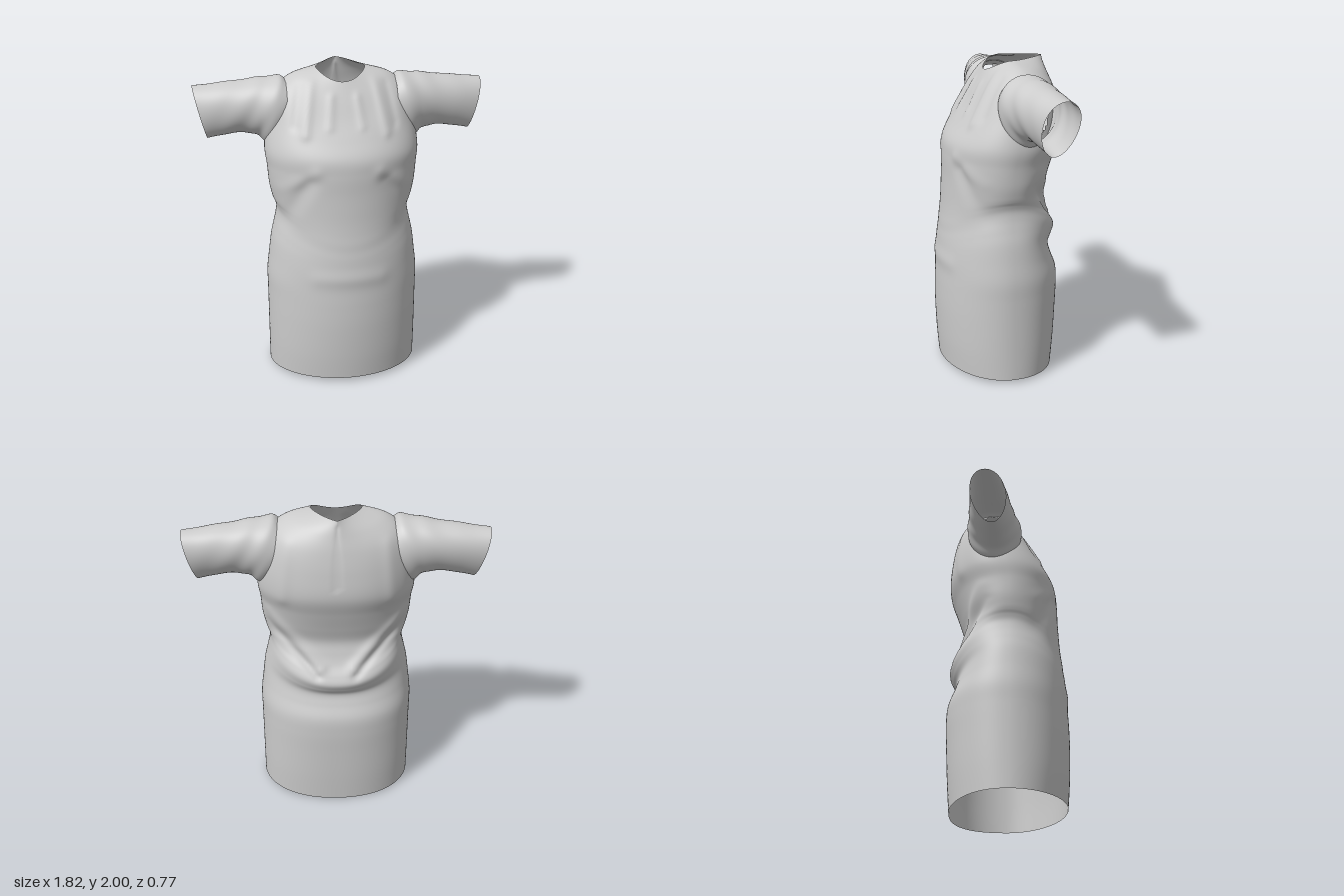
import * as THREE from 'three';

const material = new THREE.MeshStandardMaterial({ color: 0xcccccc, side: THREE.DoubleSide });

// Smooth interpolation through a list of equal-length rows, t in 0..1
function sampleRows(rows, t) {
  const f = t * (rows.length - 1);
  const i = Math.min(Math.floor(f), rows.length - 2);
  const u = f - i;
  const at = (k) => rows[Math.max(0, Math.min(rows.length - 1, k))];
  return rows[i].map((p1, c) => {
    const p0 = at(i - 1)[c], p2 = at(i + 1)[c], p3 = at(i + 2)[c];
    const m1 = (p2 - p0) / 2, m2 = (p3 - p1) / 2;
    const u2 = u * u, u3 = u2 * u;
    return (2 * u3 - 3 * u2 + 1) * p1 + (u3 - 2 * u2 + u) * m1 + (3 * u2 - 2 * u3) * p2 + (u3 - u2) * m2;
  });
}

// Open tube through closed rings; skip(points) may leave out a quad
function loft(rings, segs, pointAt, flip = false, skip = () => false) {
  const pts = [], index = [];
  for (let i = 0; i <= rings; i++) {
    for (let j = 0; j < segs; j++) pts.push(pointAt(i / rings, (j / segs) * Math.PI * 2));
  }
  for (let i = 0; i < rings; i++) {
    for (let j = 0; j < segs; j++) {
      const k = (j + 1) % segs;
      const a = i * segs + j, b = i * segs + k, c = a + segs, d = b + segs;
      if (skip([a, b, c, d].map((n) => pts[n]))) continue;
      if (flip) index.push(a, b, c, b, d, c);
      else index.push(a, c, b, b, c, d);
    }
  }
  const g = new THREE.BufferGeometry();
  g.setAttribute('position', new THREE.Float32BufferAttribute(pts.flat(), 3));
  g.setIndex(index);
  g.computeVertexNormals();
  return g;
}

// Skirt and torso: y at centre, half width, front z, back z
const torso = [
  [0.2, 0.49, 0.38, -0.37], [0.4, 0.49, 0.387, -0.38], [0.55, 0.49, 0.385, -0.386],
  [0.66, 0.49, 0.38, -0.38], [0.75, 0.475, 0.378, -0.345], [0.82, 0.46, 0.372, -0.325],
  [0.87, 0.442, 0.367, -0.35], [0.92, 0.426, 0.36, -0.37], [0.97, 0.42, 0.355, -0.35],
  [1.03, 0.428, 0.347, -0.31], [1.1, 0.44, 0.34, -0.285], [1.18, 0.45, 0.335, -0.272],
  [1.28, 0.463, 0.33, -0.3], [1.4, 0.472, 0.327, -0.34],
].map(([y, w, zf, zb]) => {
  // the back drapes in U-shaped folds, higher at the sides
  const lift = 0.15 * Math.exp(-(((y - 0.95) / 0.2) ** 2));
  return [y, y + lift, y, w, 0, zf, zb, 2, 2.25];
});

// y front, y side, y back, half width, centre z, front z, back z, roundness front and back
const bodyRows = [
  [0.03, 0.025, 0.003, 0.49, 0, 0.367, -0.356, 1.95, 2.2],
  ...torso,
  [1.5, 1.52, 1.53, 0.483, -0.03, 0.313, -0.38, 2.1, 2.3],
  [1.6, 1.7, 1.68, 0.455, -0.08, 0.255, -0.373, 2.1, 2.3],
  [1.71, 1.86, 1.81, 0.405, -0.09, 0.185, -0.352, 2.05, 2.2],
  [1.82, 1.95, 1.91, 0.3, -0.09, 0.125, -0.327, 2, 1.8],
  [1.925, 1.99, 2.0, 0.152, -0.08, 0.065, -0.305, 2, 1.25],
];

// Soft creases mirrored on both sides: x0, y0, x1, y1, width, height
const frontFolds = [
  [0.2, 1.92, 0.25, 1.64, 0.03, 0.014], [0.27, 1.9, 0.31, 1.68, 0.025, -0.012],
  [0.08, 1.84, 0.1, 1.68, 0.025, 0.008], [0.4, 1.08, 0.24, 1.36, 0.05, -0.018],
  [0.4, 1.3, 0.2, 1.42, 0.04, 0.01], [0, 0.74, 0.2, 0.74, 0.05, 0.006],
];
const backFolds = [
  [0.42, 1.36, 0.1, 1.02, 0.035, 0.018], [0.42, 1.27, 0.12, 0.97, 0.025, -0.014],
  [0.3, 1.85, 0.33, 1.5, 0.04, 0.01], [0, 1.96, 0, 1.6, 0.012, -0.006],
];
function foldHeight(folds, x, y) {
  let h = 0;
  for (const [x0, y0, x1, y1, width, height] of folds) {
    const dx = x1 - x0, dy = y1 - y0;
    const s = Math.max(0, Math.min(1, ((Math.abs(x) - x0) * dx + (y - y0) * dy) / (dx * dx + dy * dy)));
    const d = Math.hypot(Math.abs(x) - x0 - s * dx, y - y0 - s * dy);
    h += height * Math.exp(-((d / width) ** 2));
  }
  return h;
}

function bodyPoint(t, angle) {
  const [yf, ys, yb, w, zc, zf, zb, nf, nb] = sampleRows(bodyRows, t);
  const c = Math.cos(angle), s = Math.sin(angle);
  const front = s >= 0;
  const e = 2 / (front ? nf : nb);
  const x = w * Math.sign(c) * Math.abs(c) ** e;
  const y = ys * c * c + (front ? yf : yb) * s * s;
  const z = zc + ((front ? zf : zb) - zc) * Math.abs(s) ** e;
  const h = foldHeight(front ? frontFolds : backFolds, x, y) * Math.abs(s);
  return [x, y, z + (front ? h : -h)];
}

// Armhole: body faces inside the sleeve are left out
const inArmhole = (quad) => quad.every(([x, y, z]) =>
  Math.abs(x) > 0.38 && ((y - 1.735) / 0.17) ** 2 + ((z + 0.09) / 0.135) ** 2 < 1);

// Sleeve rings: x, lean, centre y, half height, centre z, half depth
const sleeveRows = [
  [0.34, 0, 1.735, 0.185, -0.09, 0.16],
  [0.42, -0.04, 1.733, 0.207, -0.09, 0.173],
  [0.5, -0.02, 1.75, 0.18, -0.1, 0.155],
  [0.6, 0, 1.752, 0.163, -0.11, 0.139],
  [0.74, 0.02, 1.737, 0.158, -0.12, 0.122],
  [0.87, 0.04, 1.718, 0.162, -0.132, 0.106],
];

function sleeveGeometry(side) {
  return loft(40, 64, (t, angle) => {
    const [x, lean, yc, ry, zc, rz] = sampleRows(sleeveRows, t);
    const s = Math.sin(angle), c = Math.cos(angle);
    // slight drapery near the shoulder, fading to the cuff
    const ripple = 1 + 0.03 * Math.sin(t * 22 + s * 4) * t * (1 - t) * 2;
    return [
      side * (x + lean * s),
      yc + ry * s * ripple,
      zc + rz * c * (1 + 0.13 * s) * ripple + 0.02 * t * -s,
    ];
  }, side < 0);
}

export function createModel() {
  const model = new THREE.Group();
  model.name = 'dress';
  const add = (name, geometry) => {
    const mesh = new THREE.Mesh(geometry, material);
    mesh.name = name;
    model.add(mesh);
  };
  add('dressBody', loft(150, 144, bodyPoint, false, inArmhole));
  add('leftSleeve', sleeveGeometry(1));
  add('rightSleeve', sleeveGeometry(-1));
  return model;
}
